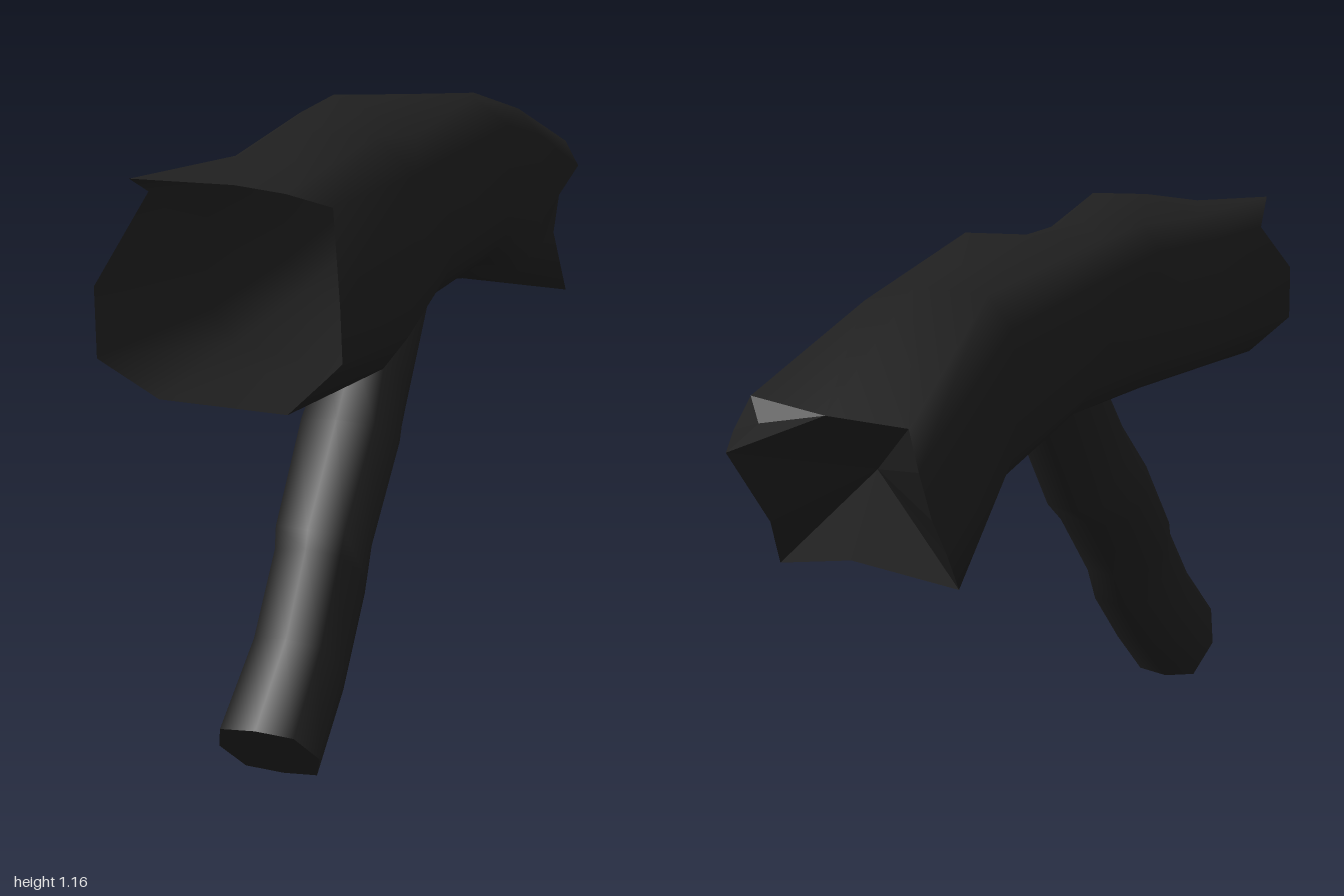
import * as THREE from 'three';

const bark = new THREE.MeshStandardMaterial({ color: 0x1f1f1f, side: THREE.DoubleSide });
bark.name = 'dark bark';

// Cross-section outlines in -1..1, clockwise as seen from the front
const LOG = [[-0.78, 0.95], [0, 1], [0.65, 1], [1, 0.7], [1, -0.3], [0.98, -0.7],
  [0.75, -1], [0, -0.95], [-0.8, -0.95], [-1, -0.6], [-0.97, 0], [-1, 0.65]];
const BRANCH = [[-0.72, 0.88], [0, 1], [0.72, 0.88], [1, 0], [0.72, -0.88], [0, -1], [-0.72, -0.88], [-1, 0]];

// Splintered rims of the trunk, in the same order as LOG
const FRONT_RIM = [[-0.16, 1.14, 0.96], [0, 1.13, 0.915], [0.1, 1.13, 0.955], [0.16, 1.1, 0.9],
  [0.2, 0.96, 0.99], [0.19, 0.86, 0.95], [0.14, 0.81, 0.86], [0.1, 0.77, 0.96],
  [-0.13, 0.77, 0.94], [-0.21, 0.85, 1], [-0.21, 0.97, 1], [-0.205, 1.08, 0.78]];
const BACK_RIM = [[-0.16, 0.86, -0.91], [0, 0.87, -0.9], [0.16, 0.89, -0.87], [0.19, 0.83, -0.88],
  [0.13, 0.815, -1], [0.14, 0.67, -0.85], [0.2, 0.565, -0.72], [0.05, 0.585, -0.73],
  [-0.165, 0.555, -0.74], [-0.172, 0.63, -0.8], [-0.175, 0.7, -0.86], [-0.18, 0.79, -0.915]];

const toPoints = (list) => list.map((p) => new THREE.Vector3(...p));

// Station: [top z, top y, bottom z, bottom y, left x, right x];
// pull rounds off the corners: [top -x, top +x, bottom +x, bottom -x]
function ring(profile, [tz, ty, bz, by, x0, x1], pull = [0, 0, 0, 0]) {
  return profile.map(([u, v]) => {
    const corner = v > 0 ? (u < 0 ? 0 : 1) : (u > 0 ? 2 : 3);
    const k = 1 - pull[corner] * Math.abs(u * v);
    const t = (v * k + 1) / 2, s = (u * k + 1) / 2;
    return new THREE.Vector3(x0 + (x1 - x0) * s, by + (ty - by) * t, bz + (tz - bz) * t);
  });
}

// Smooth skin through a row of rings
function loft(rings) {
  const n = rings[0].length, index = [];
  for (let i = 0; i < rings.length - 1; i++) {
    for (let j = 0; j < n; j++) {
      const k = (j + 1) % n, a = i * n + j, b = i * n + k;
      index.push(a, b, a + n, b, b + n, a + n);
    }
  }
  const g = new THREE.BufferGeometry().setFromPoints(rings.flat());
  g.setIndex(index);
  g.computeVertexNormals();
  return g;
}

// Faceted end face: a fan from a centre point to a ring
function cap(points, centre, front) {
  const corners = [];
  points.forEach((p, j) => {
    const q = points[(j + 1) % points.length];
    corners.push(centre, ...(front ? [q, p] : [p, q]));
  });
  const g = new THREE.BufferGeometry().setFromPoints(corners);
  g.computeVertexNormals();
  return g;
}

const middle = (points) => points
  .reduce((sum, p) => sum.add(p), new THREE.Vector3()).divideScalar(points.length);

function add(group, name, geometry) {
  const mesh = new THREE.Mesh(geometry, bark);
  mesh.name = name;
  group.add(mesh);
}

export function createModel() {
  const group = new THREE.Group();
  group.name = 'hollowLog';

  // Hollow bent trunk, open in front
  const stations = [
    ring(LOG, [0.6, 1.16, 0.6, 0.735, -0.19, 0.21], [0.25, 0, 0.08, 0.18]),
    ring(LOG, [0.2, 1.13, 0.22, 0.75, -0.175, 0.187], [0, 0.33, 0.18, 0.12]),
    ring(LOG, [-0.1, 1.115, -0.2, 0.74, -0.213, 0.2], [0, 0, 0.12, 0.22]),
    ring(LOG, [-0.54, 1.05, -0.43, 0.64, -0.168, 0.205], [0, 0.22, 0.15, 0.25]),
  ];
  const backRim = toPoints(BACK_RIM);
  add(group, 'trunk', loft([toPoints(FRONT_RIM), ...stations, backRim]));

  // Sunken broken face closing the back, with a splinter at its tip
  const splinter = backRim.slice(1, 5);
  const hollowRim = backRim.filter((p, i) => i !== 2 && i !== 3);
  add(group, 'trunkBackFace', cap(hollowRim, new THREE.Vector3(0, 0.75, -0.72), false));
  add(group, 'trunkSplinter', cap(splinter, middle(splinter), false));

  // Solid branch stub that runs up into the hollow
  const branch = [
    [0.86, 0.15, 0.72, 0, -0.1, 0.09],
    [0.73, 0.27, 0.59, 0.11, -0.08, 0.097],
    [0.6, 0.39, 0.43, 0.24, -0.085, 0.09],
    [0.57, 0.42, 0.38, 0.32, -0.095, 0.09],
    [0.41, 0.58, 0.25, 0.46, -0.1, 0.102],
    [0.29, 0.69, 0.15, 0.51, -0.085, 0.085],
    [0.13, 0.85, -0.03, 0.75, -0.085, 0.095],
    [-0.09, 1.08, -0.24, 0.93, -0.085, 0.085],
  ].map((s) => ring(BRANCH, s));
  const lower = branch[0], upper = branch[branch.length - 1];
  add(group, 'branch', loft(branch));
  add(group, 'branchCutFace', cap(lower, middle(lower), true));
  add(group, 'branchInnerFace', cap(upper, middle(upper), false));

  return group;
}
